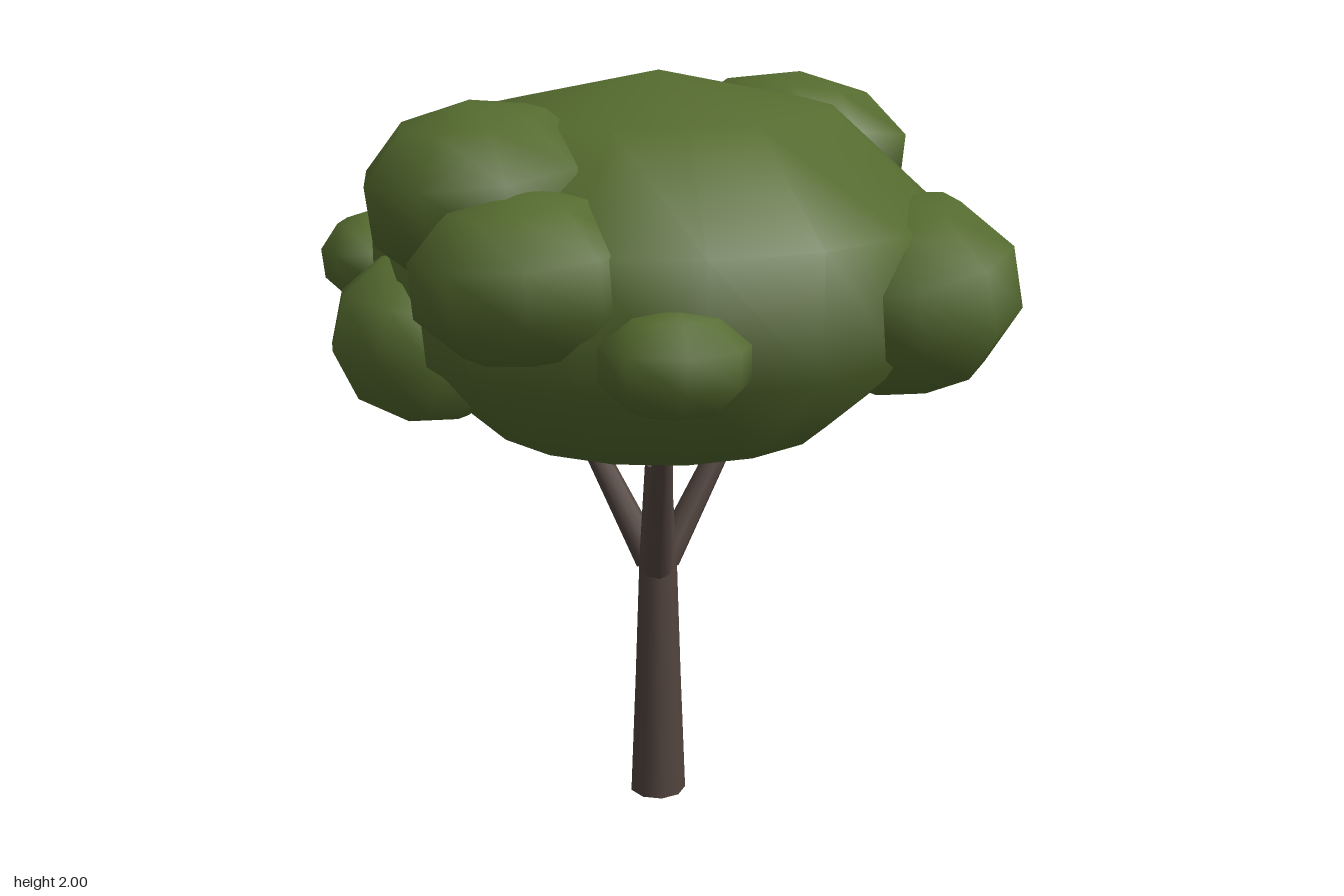
import * as THREE from 'three';

const leaf = new THREE.MeshStandardMaterial({ color: 0x556b2f });
const paleLeaf = new THREE.MeshStandardMaterial({ color: 0x85834a });
const bark = new THREE.MeshStandardMaterial({ color: 0x52443e });
leaf.name = 'leafGreen';
paleLeaf.name = 'paleOlive';
bark.name = 'barkBrown';

export function createModel() {
  const tree = new THREE.Group();
  tree.name = 'tree';

  // Smooth-shaded low-poly foliage clump
  function clump(name, pos, radii, rot = [0, 0, 0], mat = leaf, sides = 9) {
    const m = new THREE.Mesh(new THREE.SphereGeometry(1, sides, 5), mat);
    m.name = name;
    m.position.set(...pos);
    m.scale.set(...radii);
    m.rotation.set(...rot);
    tree.add(m);
  }

  // Tapered limb between two points
  function limb(name, from, to, r0, r1) {
    const a = new THREE.Vector3(...from), b = new THREE.Vector3(...to);
    const dir = b.clone().sub(a);
    const m = new THREE.Mesh(new THREE.CylinderGeometry(r1, r0, dir.length(), 8), bark);
    m.name = name;
    m.position.copy(a).add(b).multiplyScalar(0.5);
    m.quaternion.setFromUnitVectors(new THREE.Vector3(0, 1, 0), dir.normalize());
    tree.add(m);
  }

  // Trunk: flared foot, slimmer shaft, blunt top
  const profile = [[0, 0], [0.078, 0], [0.064, 0.35], [0.052, 0.7], [0.036, 0.96], [0, 0.96]]
    .map(([r, y]) => new THREE.Vector2(r, y));
  const trunk = new THREE.Mesh(new THREE.LatheGeometry(profile.slice(1, 5), 9), bark);
  trunk.name = 'trunk';
  trunk.position.set(-0.003, 0, -0.045);
  tree.add(trunk);
  for (const [y, r, turn] of [[0, 0.078, Math.PI / 2], [0.96, 0.036, -Math.PI / 2]]) {
    const cap = new THREE.Mesh(new THREE.CircleGeometry(r, 9), bark);
    cap.name = 'trunkEnd';
    cap.position.set(-0.003, y, -0.045);
    cap.rotation.x = turn;
    tree.add(cap);
  }

  // Branches spreading into the crown
  limb('frontBranch', [-0.01, 0.68, 0], [-0.03, 1.12, 0.24], 0.042, 0.024);
  limb('leftBranch', [0.02, 0.68, -0.06], [0.26, 1.12, -0.15], 0.042, 0.026);
  limb('rightBranch', [-0.02, 0.68, -0.06], [-0.23, 1.12, -0.2], 0.042, 0.024);

  // Main crown
  clump('crown', [0, 1.5, -0.05], [0.77, 0.5, 0.775], [0, 0, 0], leaf, 16);

  // Outer clumps
  clump('rightTopClump', [-0.465, 1.74, 0.22], [0.3, 0.225, 0.32], [0, 0.3, 0.12]);
  clump('rightFrontClump', [-0.385, 1.585, 0.46], [0.28, 0.21, 0.28], [0, 0.1, 0.08]);
  clump('rightLowClump', [-0.61, 1.37, 0.11], [0.25, 0.22, 0.23], [0, 0.4, -0.25]);
  clump('frontClump', [-0.06, 1.415, 0.64], [0.19, 0.135, 0.15], [0, 0, 0], leaf, 8);
  clump('leftFrontClump', [0.575, 1.47, 0.22], [0.3, 0.255, 0.37], [0, 0, 0.2]);
  clump('leftBackClump', [0.43, 1.755, -0.42], [0.33, 0.2, 0.34], [0, 0.5, -0.12]);
  clump('rightBackSmallClump', [-0.73, 1.49, -0.32], [0.145, 0.125, 0.19], [0, 0, 0.1], leaf, 8);
  clump('rightBackClump', [-0.47, 1.46, -0.58], [0.21, 0.15, 0.19], [0, 0.3, 0], leaf, 8);

  // Pale clumps tucked under the back left foliage
  clump('paleUpperClump', [0.62, 1.59, -0.28], [0.11, 0.125, 0.13], [0.2, 0, 0], paleLeaf, 8);
  clump('paleLowerClump', [0.54, 1.55, -0.52], [0.15, 0.055, 0.17], [0, 0, 0], paleLeaf, 8);

  return tree;
}
